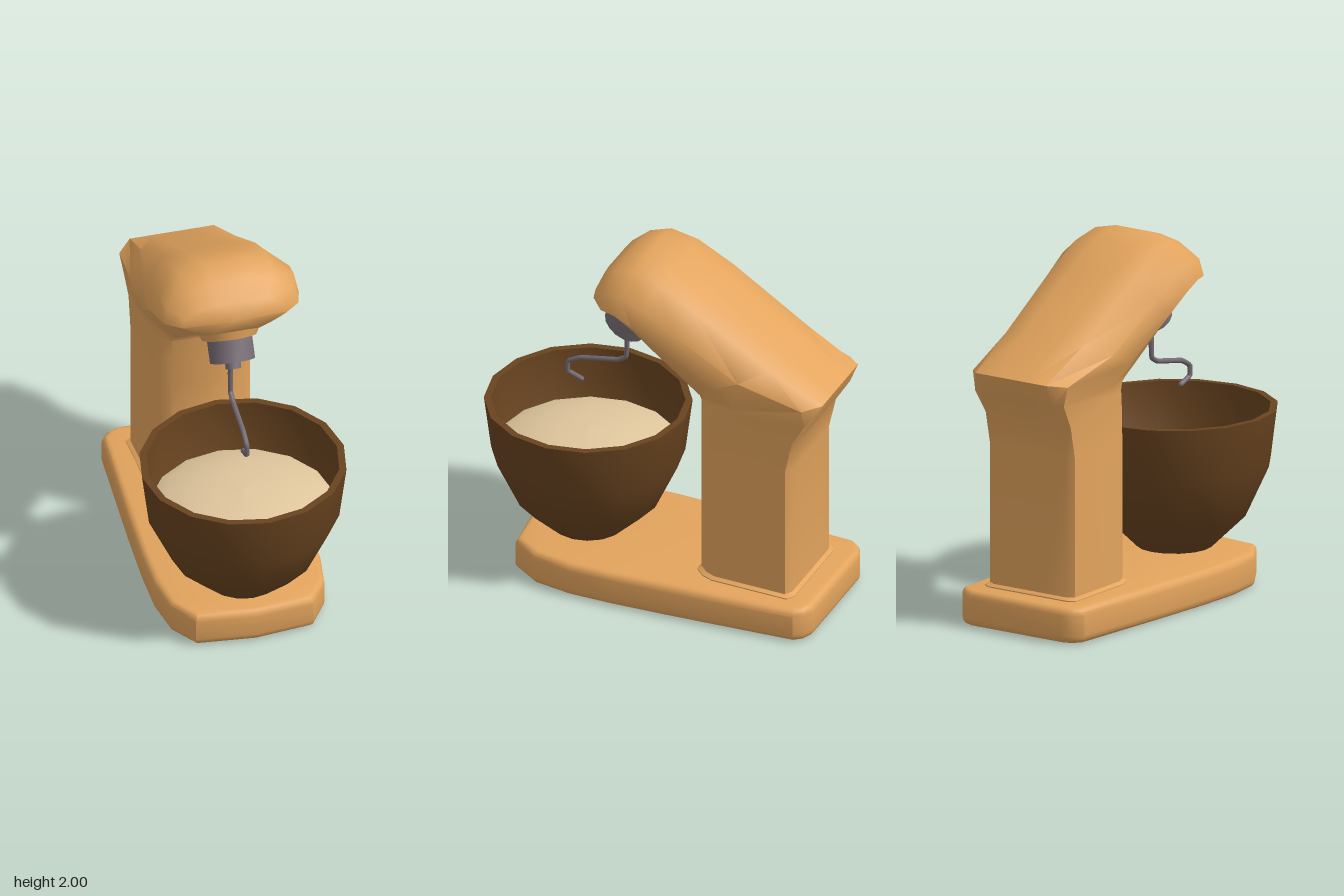
import * as THREE from 'three';
import { toCreasedNormals } from 'three/addons/utils/BufferGeometryUtils.js';

const paint = (name, color) => Object.assign(new THREE.MeshStandardMaterial({ color }), { name });

// Closed ring from the front/underside point F to the back/top point B, mirrored in x.
// [Fz, Fy, Bz, By], half-widths and their fractions along F-B.
function ring([fz, fy, bz, by], widths, fractions) {
  const side = widths.map((w, i) => {
    const t = fractions[i];
    return [w, fy + (by - fy) * t, fz + (bz - fz) * t];
  });
  return [...side, ...side.map(([x, y, z]) => [-x, y, z]).reverse()];
}

// Skin between successive rings, closed at the far end by a fan.
function loft(rings, tip) {
  const n = rings[0].length, pos = [];
  const tri = (...pts) => pts.forEach((p) => pos.push(...p));
  for (let i = 0; i < rings.length - 1; i++) {
    for (let j = 0; j < n; j++) {
      const k = (j + 1) % n;
      const a = rings[i][j], b = rings[i][k], c = rings[i + 1][k], d = rings[i + 1][j];
      tri(a, b, c);
      tri(a, c, d);
    }
  }
  const last = rings[rings.length - 1];
  for (let j = 0; j < n; j++) tri(tip, last[j], last[(j + 1) % n]);
  const g = new THREE.BufferGeometry();
  g.setAttribute('position', new THREE.Float32BufferAttribute(pos, 3));
  return toCreasedNormals(g, 0.9);
}

export function createModel() {
  const model = new THREE.Group();
  model.name = 'standMixer';
  const body = paint('caramel enamel', 0xe3a45d);
  const brown = paint('brown bowl', 0x68431f);
  const cream = paint('cream batter', 0xdfc69d);
  const metal = paint('grey metal', 0x756b73);

  const mixer = new THREE.Group();
  mixer.name = 'mixer';
  mixer.rotation.y = THREE.MathUtils.degToRad(27);
  model.add(mixer);
  const add = (name, geometry, material) => {
    const mesh = new THREE.Mesh(geometry, material);
    mesh.name = name;
    mixer.add(mesh);
    return mesh;
  };

  // Base: rounded slab, wider towards the front
  const half = [[0.3, -0.945], [0.36, -0.92], [0.4, -0.87], [0.44, -0.2], [0.455, 0.15],
    [0.455, 0.4], [0.42, 0.615], [0.32, 0.765]];
  const outline = [...half, [0, 0.8], ...half.map(([x, z]) => [-x, z]).reverse()]
    .map(([x, z]) => new THREE.Vector2(x, -z));
  const slab = new THREE.ExtrudeGeometry(new THREE.Shape(outline), {
    depth: 0.11, bevelThickness: 0.042, bevelSize: 0.035, bevelOffset: -0.035, bevelSegments: 3,
  });
  slab.rotateX(-Math.PI / 2);
  slab.translate(-0.01, 0.045, 0);
  add('base', toCreasedNormals(slab, 0.6), body);

  // Column and tilted head in one continuous skin
  const colT = [0, 0.09, 0.2, 0.955, 1, 1], headT = [0, 0.15, 0.4, 0.68, 0.95, 1];
  const colW = [0.19, 0.24, 0.265, 0.278, 0.235, 0.1];
  const wide = colW.map((w) => w + 0.02);
  const rings = [
    ring([-0.24, 0.18, -0.82, 0.18], wide, colT),
    ring([-0.24, 0.203, -0.82, 0.203], wide, colT),
    ring([-0.255, 0.215, -0.8, 0.215], colW, colT),
    ring([-0.255, 0.97, -0.8, 0.97], colW, colT),
    ring([-0.255, 1.13, -0.84, 1.15], colW, colT),
    ring([-0.255, 1.24, -0.92, 1.28], [0.19, 0.24, 0.28, 0.29, 0.24, 0.1], colT),
    ring([-0.25, 1.27, -0.97, 1.4], [0.2, 0.25, 0.3, 0.31, 0.23, 0.1], [0, 0.12, 0.3, 0.88, 1, 1]),
    ring([-0.17, 1.33, -0.7, 1.565], [0.2, 0.27, 0.355, 0.345, 0.25, 0.12], headT),
    ring([0, 1.46, -0.25, 1.84], [0.2, 0.28, 0.385, 0.37, 0.26, 0.13], headT),
    ring([0.13, 1.565, -0.05, 1.95], [0.19, 0.28, 0.395, 0.38, 0.25, 0.13], headT),
    ring([0.2, 1.62, 0.1, 2], [0.17, 0.27, 0.39, 0.37, 0.24, 0.1], [0, 0.15, 0.38, 0.66, 0.91, 1]),
    ring([0.265, 1.66, 0.22, 1.96], [0.15, 0.26, 0.365, 0.345, 0.22, 0.1], [0, 0.13, 0.35, 0.66, 0.92, 1]),
    ring([0.335, 1.71, 0.31, 1.88], [0.13, 0.2, 0.285, 0.275, 0.18, 0.08], headT),
  ];
  add('columnAndHead', loft(rings, [0, 1.8, 0.365]), body);

  // Tool socket, square to the tilted head: neck, drum and pin
  const socket = new THREE.Group();
  socket.name = 'toolSocket';
  socket.position.set(0, 1.525, 0.236);
  socket.rotation.x = -0.54;
  mixer.add(socket);
  [['neck', 0.21, 0.145, 0.11, 0.115, body], ['socketDrum', 0.122, 0.122, 0.13, 0, metal],
    ['socketPin', 0.042, 0.042, 0.05, -0.083, metal]].forEach(([name, top, bottom, h, y, material]) => {
    const m = new THREE.Mesh(toCreasedNormals(new THREE.CylinderGeometry(top, bottom, h, 16), 0.6), material);
    m.name = name;
    m.position.y = y;
    socket.add(m);
  });

  // Dough hook
  const path = [[1.47, 0.27], [1.39, 0.262], [1.26, 0.268], [1.23, 0.32], [1.19, 0.53],
    [1.15, 0.605], [1.09, 0.605], [1.06, 0.525]].map(([y, z]) => new THREE.Vector3(-0.01, y, z));
  const hookCurve = new THREE.CatmullRomCurve3(path, false, 'catmullrom', 0.08);
  add('doughHook', new THREE.TubeGeometry(hookCurve, 40, 0.014, 8), metal);
  const tip = add('hookTip', new THREE.SphereGeometry(0.014, 8, 6), metal);
  tip.position.copy(path[path.length - 1]);

  // Bowl with a thick rim, and the domed batter inside it
  const profile = (pts) => pts.map(([r, y]) => new THREE.Vector2(r, y));
  const bowl = new THREE.LatheGeometry(profile([[0, 0.195], [0.2, 0.195], [0.385, 0.375], [0.512, 0.65],
    [0.55, 0.955], [0.512, 0.955], [0.492, 0.66], [0.35, 0.4], [0, 0.3]]), 16);
  add('bowl', toCreasedNormals(bowl, 0.7), brown).position.z = 0.483;
  const batter = new THREE.LatheGeometry(profile([[0.496, 0.66], [0.43, 0.695], [0.3, 0.735], [0.15, 0.757],
    [0, 0.765]]), 16);
  add('batter', batter, cream).position.z = 0.483;

  return model;
}
